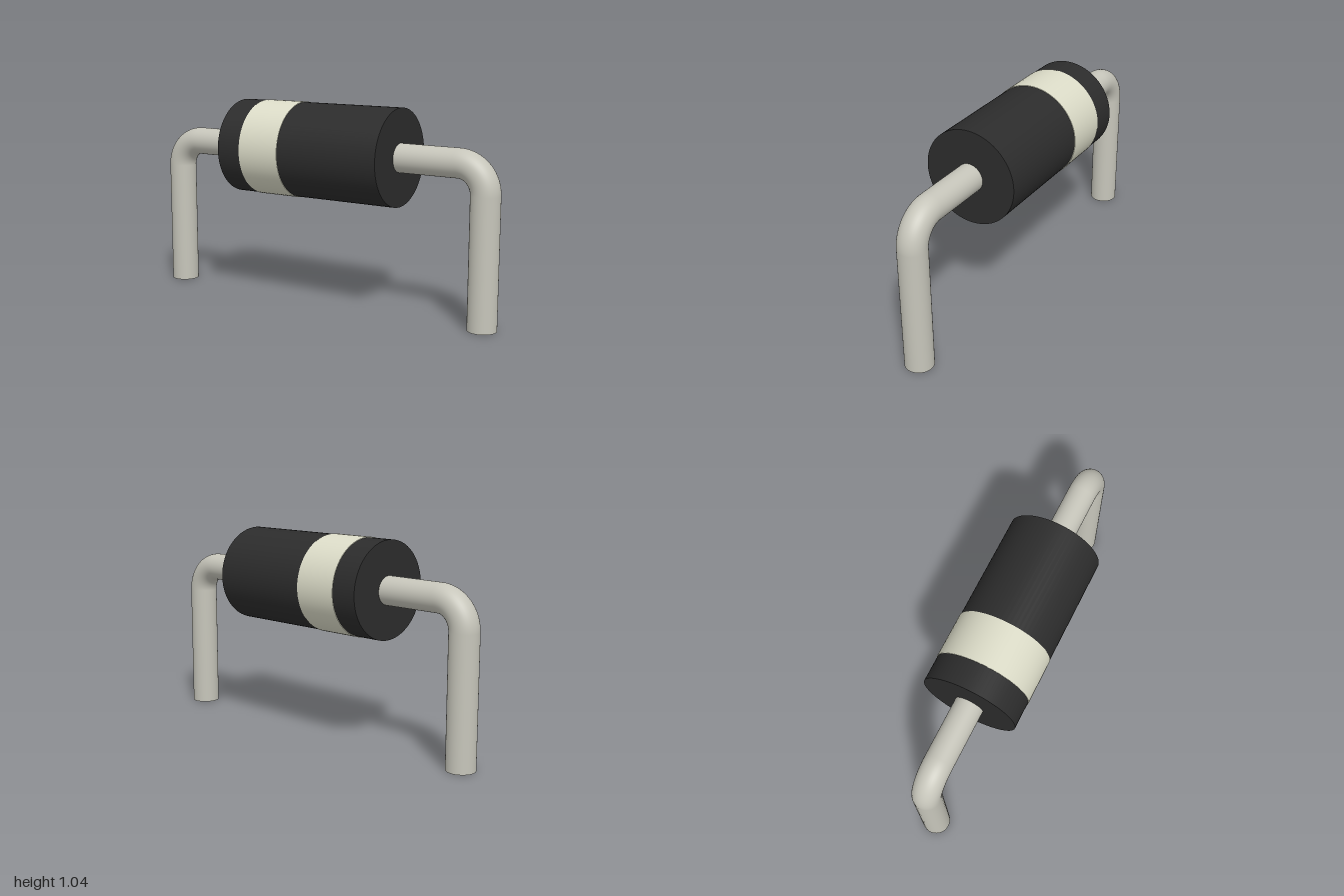
import * as THREE from 'three';
import { mergeGeometries } from 'three/addons/utils/BufferGeometryUtils.js';

const AXIS_Y = 0.795;   // height of the body axis
const WIRE_R = 0.0725;  // lead wire radius
const BEND_R = 0.142;   // centreline radius of the lead bend
const LEG_X = 1 - WIRE_R;

const paint = (color) => new THREE.MeshStandardMaterial({ color });

// Cylinder lying along x between two positions
function barrel(x0, x1, radius, segments = 64) {
  return new THREE.CylinderGeometry(radius, radius, x1 - x0, segments)
    .rotateZ(-Math.PI / 2)
    .translate((x0 + x1) / 2, AXIS_Y, 0);
}

// Wire leaving the body along +x, bending down to the ground
function leadGeometry() {
  const bendX = LEG_X - BEND_R;
  const bendY = AXIS_Y - BEND_R;
  const straight = barrel(0.44, bendX, WIRE_R, 40);
  const bend = new THREE.TorusGeometry(BEND_R, WIRE_R, 40, 20, Math.PI / 2)
    .translate(bendX, bendY, 0);
  const leg = new THREE.CylinderGeometry(WIRE_R, WIRE_R, bendY, 40)
    .translate(LEG_X, bendY / 2, 0);
  return mergeGeometries([straight, bend, leg]);
}

export function createModel() {
  const model = new THREE.Group();
  model.name = 'diode';

  const add = (name, geometry, material) => {
    const mesh = new THREE.Mesh(geometry, material);
    mesh.name = name;
    model.add(mesh);
    return mesh;
  };

  // Dark cylindrical body with a pale polarity band
  add('body', barrel(-0.473, 0.47, 0.245), paint(0x2c2c2c));
  add('polarityBand', barrel(-0.335, -0.098, 0.248), paint(0xdcdcc8));

  // Bent leads, the right one turned half way round
  const metal = paint(0xc6c5ba);
  const lead = leadGeometry();
  add('leftLead', lead, metal);
  add('rightLead', lead, metal).rotation.y = Math.PI;

  return model;
}
